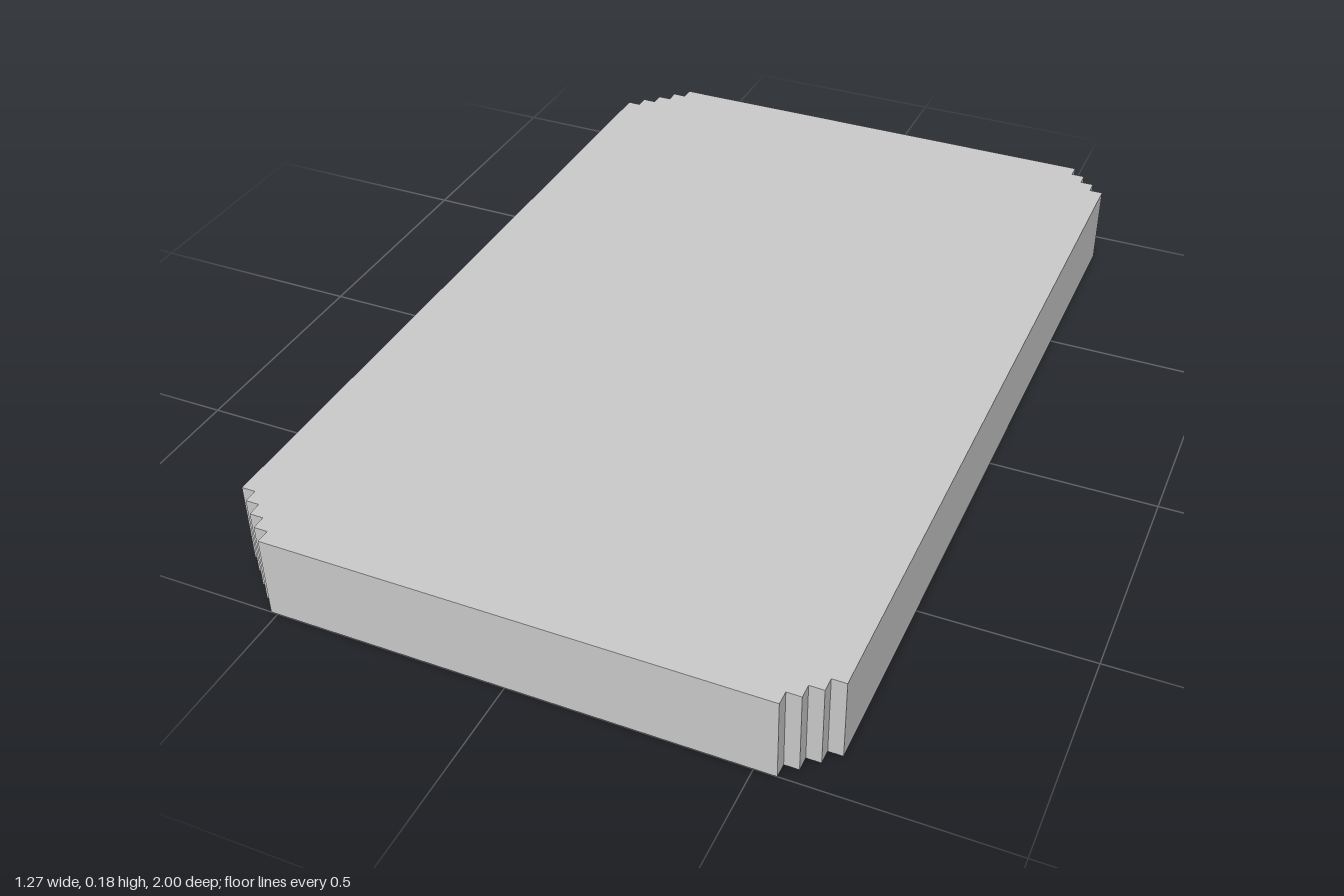
import * as THREE from 'three';

const U = 2 / 66; // one block of the stepped grid

// Stair of n steps for one corner, from the z end inwards to the side, in the +x +z quadrant
function stair(n) {
  const pts = [[21 - n, 33]];
  for (let i = 0; i < n; i++) pts.push([21 - n + i, 32 - i], [22 - n + i, 32 - i]);
  return pts;
}

// Outline seen from above, with optional one-block notches [from, to] in the back and right-hand sides
function outline(backNotches = [], sideNotches = []) {
  const wide = stair(4), narrow = stair(3);
  const pts = wide.map(([x, z]) => [-x, -z]).reverse();
  for (const [a, b] of backNotches) pts.push([a, -33], [a, -32], [b, -32], [b, -33]);
  pts.push(...narrow.map(([x, z]) => [x, -z]));
  pts.push(...[...narrow].reverse());
  pts.push(...wide.map(([x, z]) => [-x, z]));
  for (const [a, b] of sideNotches) pts.push([-21, b], [-20, b], [-20, a], [-21, a]);
  return new THREE.Shape(pts.map(([x, z]) => new THREE.Vector2(x * U, -z * U)));
}

export function createModel() {
  const group = new THREE.Group();
  group.name = 'slab';
  const material = new THREE.MeshStandardMaterial({ color: 0xcccccc, flatShading: true });

  // Stacked layers: name, bottom, top, back notches, side notches
  const layers = [
    ['basePlate', 0, 1, [], []],
    ['backHoleLayer', 1, 2, [[-3, -2]], []],
    ['lowerSlotLayer', 2, 3, [], [[-7, 5]]],
    ['upperSlotLayer', 3, 4, [], [[4, 9], [-8, -6]]],
    ['topPlate', 4, 6, [], []],
  ];
  for (const [name, y0, y1, back, side] of layers) {
    const geometry = new THREE.ExtrudeGeometry(outline(back, side), {
      depth: (y1 - y0) * U,
      bevelEnabled: false,
    });
    geometry.rotateX(-Math.PI / 2);
    const mesh = new THREE.Mesh(geometry, material);
    mesh.name = name;
    mesh.position.y = y0 * U;
    group.add(mesh);
  }
  return group;
}
